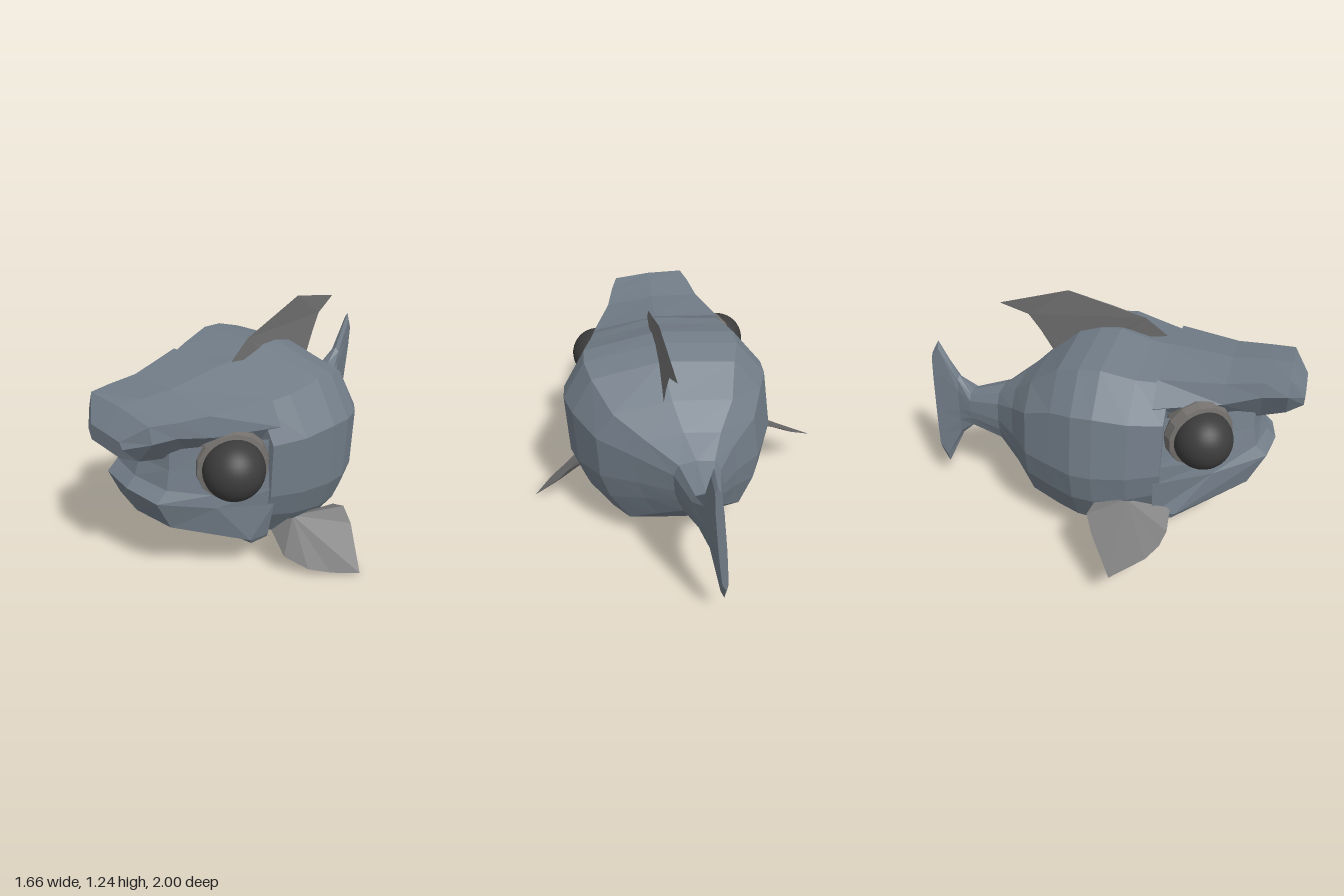
import * as THREE from 'three';

const mat = (color, flat = true, side = THREE.FrontSide) =>
  new THREE.MeshStandardMaterial({ color, flatShading: flat, side });
const skin = mat(0x727d88, true, THREE.DoubleSide);
const finMat = mat(0x707070, true, THREE.DoubleSide);
const socketMat = mat(0x74716e);
const eyeMat = mat(0x3c3c3c, false);

// The fish leans over a little and its tail curls to one side
const ROLL = 0.09, MID = 0.55;
const curl = new THREE.CatmullRomCurve3([[1, .05], [0, .05], [-.2, .05], [-.4, .02], [-.6, -.05], [-.78, -.07], [-1, -.105]]
  .map(([z, x]) => new THREE.Vector3(x, 0, z)), false, 'catmullrom', 0);
function bend(z) {
  const p = curl.points;
  const i = Math.max(1, p.findIndex(q => q.z <= z));
  const a = p[i - 1], b = p[i];
  return a.x + (b.x - a.x) * (z - a.z) / (b.z - a.z);
}
// s: sideways, h: height above the middle, z: along the fish
const place = (s, h, z) => new THREE.Vector3(
  bend(z) + s * Math.cos(ROLL) + h * Math.sin(ROLL),
  MID + h * Math.cos(ROLL) - s * Math.sin(ROLL), z);

// Skin stretched over rows of points
function skinRows(rows) {
  const pos = [];
  const tri = (a, b, c) => {
    const area = b.clone().sub(a).cross(c.clone().sub(a)).length();
    if (area > 1e-7) for (const v of [a, b, c]) pos.push(v.x, v.y, v.z);
  };
  for (let i = 0; i < rows.length - 1; i++)
    for (let j = 0; j < rows[i].length - 1; j++) {
      const a = rows[i][j], b = rows[i][j + 1], c = rows[i + 1][j + 1], d = rows[i + 1][j];
      tri(a, b, c);
      tri(a, c, d);
    }
  const g = new THREE.BufferGeometry();
  g.setAttribute('position', new THREE.Float32BufferAttribute(pos, 3));
  g.computeVertexNormals();
  return g;
}

// Closed ring from a half outline running from top centre to bottom centre
function ring(half, z) {
  const other = half.slice(1, -1).reverse().map(([s, h]) => [-s, h]);
  return [...half, ...other, half[0]].map(([s, h]) => place(s, h, z));
}
function capped(rings) {
  const cap = r => {
    const c = new THREE.Vector3();
    r.slice(1).forEach(p => c.add(p));
    c.divideScalar(r.length - 1);
    return r.map(() => c);
  };
  return skinRows([cap(rings[0]), ...rings, cap(rings[rings.length - 1])]);
}

function add(parent, name, geometry, material) {
  const m = new THREE.Mesh(geometry, material);
  m.name = name;
  parent.add(m);
  return m;
}

// Flat fin through a loop of points, fanned from its root
function fin(points) {
  const p = points.map(a => new THREE.Vector3(...a));
  const pos = [];
  for (let i = 1; i < p.length - 1; i++)
    for (const v of [p[0], p[i], p[i + 1]]) pos.push(v.x, v.y, v.z);
  const g = new THREE.BufferGeometry();
  g.setAttribute('position', new THREE.Float32BufferAttribute(pos, 3));
  g.computeVertexNormals();
  return g;
}

export function createModel() {
  const fish = new THREE.Group();
  fish.name = 'fish';

  // Body and tail: one outline scaled along the length [z, half width, top, bottom]
  const outline = [[0, 1], [.72, .89], [.97, .5], [1, -.16], [.92, -.5], [.72, -.88], [0, -1]];
  const stations = [
    [.36, .44, .45, .39], [.2, .51, .47, .45], [.03, .545, .51, .5], [-.08, .545, .5, .49],
    [-.2, .5, .46, .47], [-.36, .41, .33, .42], [-.48, .25, .22, .3], [-.6, .12, .14, .18],
    [-.78, .07, .09, .13], [-.86, .035, .17, .2], [-.96, .022, .375, .41], [-1, .02, .3, .32],
  ];
  add(fish, 'bodyAndTail', capped(stations.map(([z, w, top, bottom]) =>
    ring(outline.map(([s, h]) => [s * w, h * (h > 0 ? top : bottom)]), z))), skin);

  // Overhanging brow, front to back
  const brow = [
    [1, [[0, .36], [.1, .36], [.12, .33], [.1, .28], [0, .28]]],
    [.92, [[0, .46], [.2, .45], [.22, .37], [.13, .24], [0, .25]]],
    [.8, [[0, .455], [.23, .435], [.24, .36], [.13, .2], [0, .2]]],
    [.62, [[0, .44], [.26, .415], [.28, .31], [.15, .15], [0, .15]]],
    [.3, [[0, .465], [.34, .425], [.41, .3], [.3, .1], [0, .1]]],
  ];
  add(fish, 'brow', capped(brow.map(([z, half]) => ring(half, z))), skin);

  // Face and jaw, top to bottom: [s, h, z] from the centre to the cheek
  const face = [
    [[0, .25, .8], [.16, .25, .77], [.26, .25, .6], [.41, .25, .33]],
    [[0, .15, .81], [.17, .15, .78], [.27, .13, .62], [.42, .12, .33]],
    [[0, .06, .84], [.18, .05, .8], [.3, .0, .62], [.44, -.02, .33]],
    [[0, .01, .89], [.18, 0, .86], [.32, -.07, .61], [.44, -.12, .33]],
    [[0, -.15, .83], [.19, -.17, .78], [.41, -.3, .45], [.42, -.32, .33]],
    [[0, -.31, .52], [.19, -.32, .5], [.4, -.335, .43], [.41, -.34, .33]],
    [[0, -.46, .22], [.19, -.44, .24], [.36, -.41, .26], [.4, -.37, .26]],
  ];
  add(fish, 'faceAndJaw', skinRows(face.map(half => [
    ...half.slice().reverse(), ...half.slice(1).map(([s, h, z]) => [-s, h, z]),
  ].map(p => place(...p)))), skin);

  // Bulging eyes in round sockets
  for (const side of [1, -1]) {
    const centre = place(side * .36, .147, .55);
    const out = new THREE.Vector3(side * .83, 0, .55).normalize();
    const name = side > 0 ? 'left' : 'right';
    add(fish, name + 'Eye', new THREE.SphereGeometry(.148, 32, 20), eyeMat).position.copy(centre);
    const profile = [[0, -.08], [.165, -.08], [.182, -.02], [.172, .025], [.145, .03], [0, .02]]
      .map(([r, y]) => new THREE.Vector2(r, y));
    const socket = add(fish, name + 'EyeSocket', new THREE.LatheGeometry(profile, 14), socketMat);
    socket.position.copy(centre).addScaledVector(out, -.045);
    socket.quaternion.setFromUnitVectors(new THREE.Vector3(0, 1, 0), out);
  }

  // Back fin, curving with the body
  const sail = new THREE.ShapeGeometry(new THREE.Shape([
    [.27, 1.03], [.15, 1.12], [-.02, 1.17], [-.26, 1.235], [-.63, 1.14], [-.48, 1.08],
    [-.42, .99], [-.36, .88], [-.3, .82], [0, .98],
  ].map(p => new THREE.Vector2(...p))));
  const p = sail.attributes.position;
  for (let i = 0; i < p.count; i++) {
    const z = p.getX(i), t = (.27 - z) / .9;
    p.setXYZ(i, .135 - .08 * t * t, p.getY(i), z);
  }
  sail.computeVertexNormals();
  add(fish, 'backFin', sail, finMat);

  // Side fins, paddling in different poses
  add(fish, 'leftSideFin', fin([
    [.45, .22, .15], [.48, .25, .35], [.56, .12, .34], [.66, .055, .27], [.74, .03, .19],
    [.83, 0, .06], [.68, .18, -.05], [.62, .255, -.06], [.58, .27, -.02]]), finMat);
  add(fish, 'rightSideFin', fin([
    [-.42, .36, .2], [-.37, .31, .42], [-.48, .25, .43], [-.57, .225, .41], [-.66, .21, .36],
    [-.83, .215, .22], [-.68, .33, .09], [-.61, .39, .045], [-.53, .4, .06]]), finMat);

  return fish;
}
